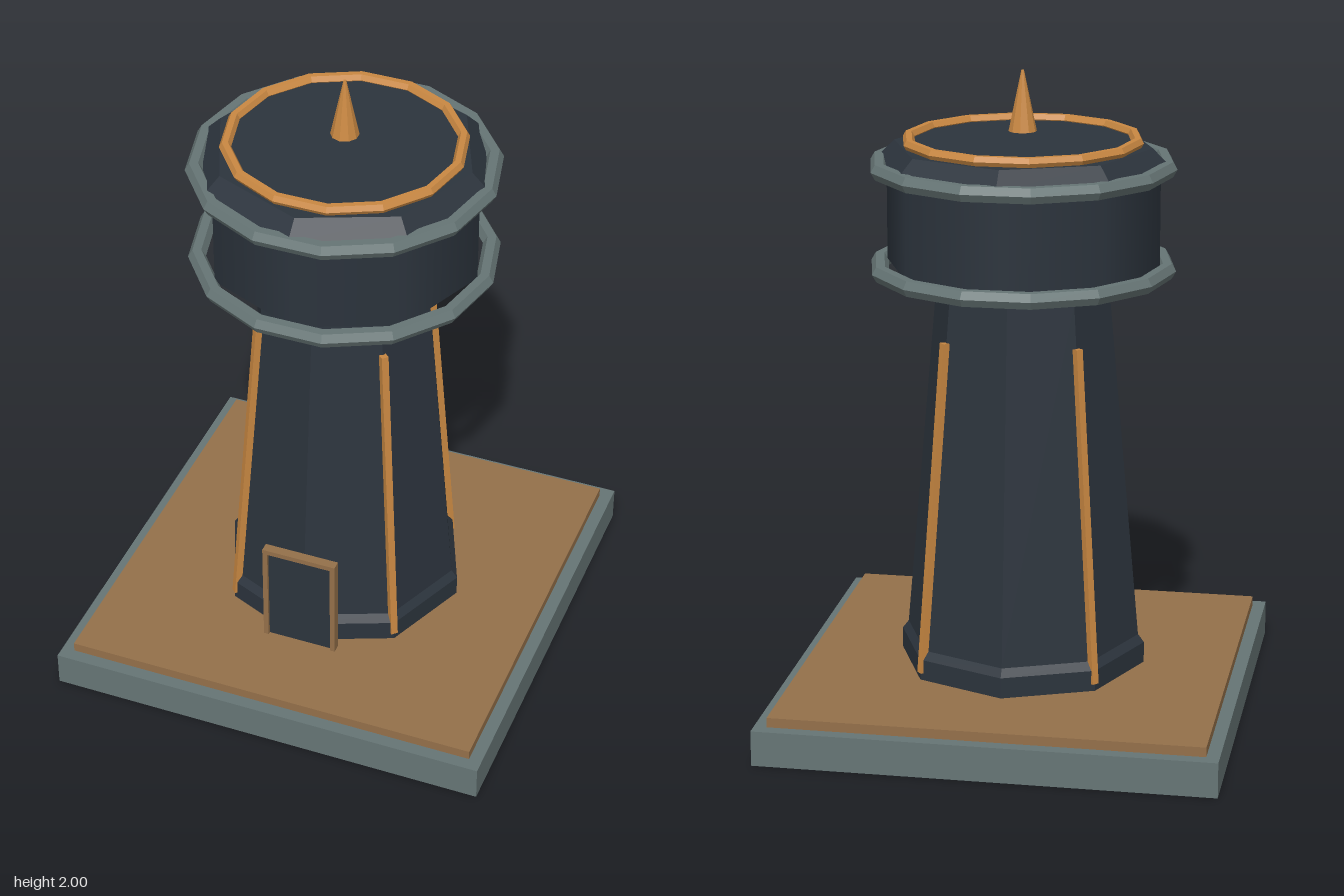
import * as THREE from 'three';

const material = (name, color, flatShading = true) =>
  Object.assign(new THREE.MeshStandardMaterial({ color, flatShading }), { name });

export function createModel() {
  const tower = new THREE.Group();
  tower.name = 'tower';
  const slate = material('dark slate', 0x2c343d);
  const stone = material('grey stone', 0x667575);
  const wood = material('brown boards', 0x94704a);
  const bronze = material('bronze', 0xc98842);

  const add = (name, geometry, mat, x = 0, y = 0, z = 0, parent = tower) => {
    const mesh = new THREE.Mesh(geometry, mat);
    mesh.name = name;
    mesh.position.set(x, y, z);
    parent.add(mesh);
    return mesh;
  };
  const box = (name, w, h, d, mat, x, y, z, parent) =>
    add(name, new THREE.BoxGeometry(w, h, d), mat, x, y, z, parent);
  // Solid of revolution between two heights
  const frustum = (name, rBottom, rTop, y0, y1, sides, mat) =>
    add(name, new THREE.CylinderGeometry(rTop, rBottom, y1 - y0, sides), mat, 0, (y0 + y1) / 2, 0);
  // Horizontal fourteen-sided ring with a corner on +x
  const ring = (name, radius, tube, y, mat) =>
    add(name, new THREE.TorusGeometry(radius, tube, 6, 14).rotateX(-Math.PI / 2), mat, 0, y, 0);

  // Square base
  box('baseSlab', 1.4, 0.11, 1.4, stone, 0, 0.055, 0);
  box('deck', 1.32, 0.03, 1.32, wood, 0, 0.125, 0);

  // Octagonal shaft with a bevelled plinth
  frustum('plinth', 0.385, 0.385, 0.14, 0.205, 8, slate);
  frustum('plinthBevel', 0.385, 0.366, 0.205, 0.23, 8, slate);
  frustum('shaft', 0.366, 0.268, 0.23, 1.33, 8, slate);
  frustum('shaftNeck', 0.268, 0.255, 1.33, 1.41, 8, slate);

  // Slim trims along the four diagonal corners
  for (let i = 0; i < 4; i++) {
    const corner = new THREE.Group();
    corner.name = 'cornerTrim' + (i + 1);
    corner.rotation.y = Math.PI / 4 + i * Math.PI / 2;
    const trim = box('trimStrip', 0.022, 1.04, 0.022, bronze, 0, 0.68, 0.332, corner);
    trim.rotation.x = -Math.atan(0.098 / 1.1);
    tower.add(corner);
  }

  // Door with its frame
  box('doorPanel', 0.21, 0.335, 0.02, slate, 0, 0.3075, 0.378);
  for (const s of [-1, 1]) box('doorJamb', 0.016, 0.35, 0.03, wood, s * 0.112, 0.315, 0.383);
  box('doorLintel', 0.208, 0.016, 0.03, wood, 0, 0.482, 0.383);

  // Lantern room, its rings and the roof
  frustum('drum', 0.42, 0.42, 1.405, 1.72, 8, material('smooth dark slate', 0x2c343d, false));
  ring('lowerRing', 0.443, 0.027, 1.4, stone);
  ring('upperRing', 0.443, 0.027, 1.712, stone);
  frustum('roofBevel', 0.45, 0.395, 1.72, 1.775, 8, slate);
  frustum('roofCap', 0.35, 0.35, 1.77, 1.785, 14, slate).rotation.y = Math.PI / 2;
  ring('roofRing', 0.35, 0.018, 1.788, bronze);

  // Spike above the roof
  frustum('spike', 0.043, 0.004, 1.815, 2, 10, bronze);
  return tower;
}
